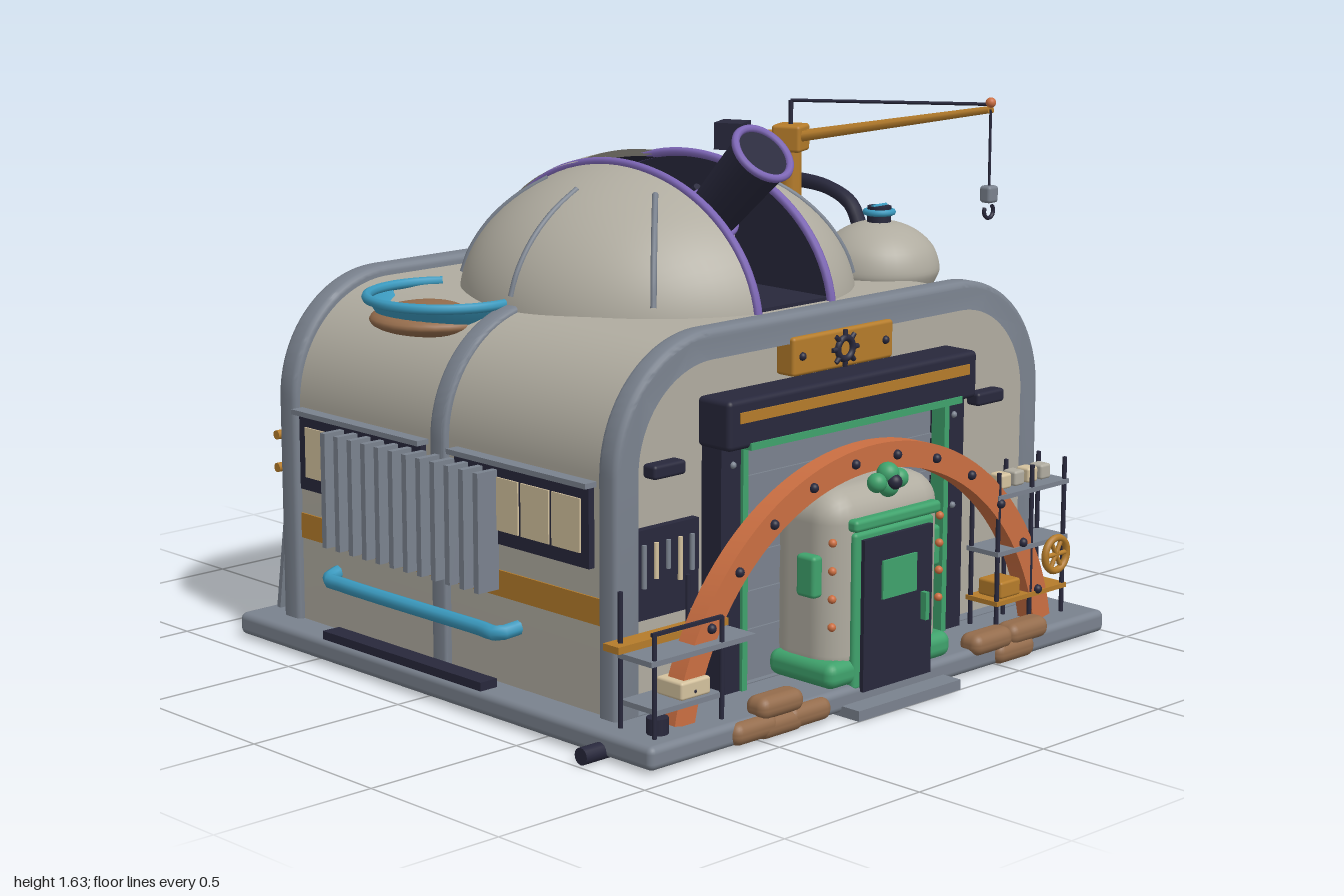
import * as THREE from 'three';
import { toCreasedNormals } from 'three/addons/utils/BufferGeometryUtils.js';
import { RoundedBoxGeometry } from 'three/addons/geometries/RoundedBoxGeometry.js';

const V = (x, y, z) => new THREE.Vector3(x, y, z);
const PI = Math.PI, CX = 0.035;

export function createModel() {
  const root = new THREE.Group();
  root.name = 'domedWorkshop';
  const M = {};
  const colours = { hull: 0xb0aca0, slate: 0x7a828e, dark: 0x28283c, terracotta: 0xcb6f42, ochre: 0xb57c2a,
    green: 0x3fa26c, blue: 0x3b9abf, purple: 0x7d66b6, earth: 0x946c4c, cream: 0xd4c29e };
  for (const [name, color] of Object.entries(colours)) {
    M[name] = new THREE.MeshStandardMaterial({ color });
    M[name].name = name;
  }
  for (const n of ['hull', 'dark', 'blue']) M[n].side = THREE.DoubleSide;

  // helpers
  const add = (name, geo, mat, x = 0, y = 0, z = 0) => {
    const m = new THREE.Mesh(geo, M[mat]);
    m.name = name;
    m.position.set(x, y, z);
    root.add(m);
    return m;
  };
  // box given by its limits
  const box = (name, mat, x0, x1, y0, y1, z0, z1) =>
    add(name, new THREE.BoxGeometry(x1 - x0, y1 - y0, z1 - z0), mat, (x0 + x1) / 2, (y0 + y1) / 2, (z0 + z1) / 2);
  const soft = (name, mat, x0, x1, y0, y1, z0, z1, r) =>
    add(name, new RoundedBoxGeometry(x1 - x0, y1 - y0, z1 - z0, 3, r), mat, (x0 + x1) / 2, (y0 + y1) / 2, (z0 + z1) / 2);
  const bar = (name, mat, a, b, r, r2 = r, seg = 16, open = false) => {
    const d = b.clone().sub(a), m = add(name, new THREE.CylinderGeometry(r2, r, d.length(), seg, 1, open), mat);
    m.position.copy(a).add(b).multiplyScalar(0.5);
    m.quaternion.setFromUnitVectors(V(0, 1, 0), d.normalize());
    return m;
  };
  const tube = (name, mat, pts, r, n = 32) =>
    add(name, new THREE.TubeGeometry(new THREE.CatmullRomCurve3(pts), n, r, 8), mat);
  const ball = (name, mat, x, y, z, rx, ry = rx, rz = rx) => {
    const m = add(name, new THREE.SphereGeometry(1, 28, 18), mat, x, y, z);
    m.scale.set(rx, ry, rz);
    return m;
  };
  const ring = (name, mat, x, y, z, r, t, arc = 2 * PI) => add(name, new THREE.TorusGeometry(r, t, 8, 40, arc), mat, x, y, z);

  // base slab with front step and side strips
  soft('base', 'slate', -0.915, 0.975, 0.008, 0.075, -0.85, 0.935, 0.02);
  box('frontStep', 'slate', -0.185, 0.24, 0, 0.03, 0.9, 1);
  box('sideStrip', 'dark', 0.96, 0.98, 0, 0.018, -0.67, 0.67);
  bar('drainPipe', 'dark', V(-0.985, 0.024, 0.74), V(-0.88, 0.024, 0.74), 0.024);

  // hull, end frames and middle rib share one round-shouldered outline
  const outline = (path, w, h, r) => {
    path.moveTo(-w, 0.06);
    path.lineTo(-w, h - r);
    path.absarc(-w + r, h - r, r, PI, PI / 2, true);
    path.lineTo(w - r, h);
    path.absarc(w - r, h - r, r, PI / 2, 0, true);
    path.lineTo(w, 0.06);
    path.closePath();
    return path;
  };
  const vault = (name, mat, w, h, r, z0, z1, inner = 0, bevel = 0) => {
    const s = outline(new THREE.Shape(), w, h, r);
    if (inner) s.holes.push(outline(new THREE.Path(), w - inner, h - inner, r - inner));
    const g = new THREE.ExtrudeGeometry(s, { depth: z1 - z0 - 2 * bevel, curveSegments: 20, bevelEnabled: bevel > 0,
      bevelSize: bevel, bevelThickness: bevel, bevelOffset: -bevel, bevelSegments: 3 });
    add(name, toCreasedNormals(g, 0.6), mat, CX, 0, z0 + bevel);
  };
  vault('hull', 'hull', 0.848, 1.07, 0.34, -0.7, 0.665);
  vault('frontFrame', 'slate', 0.868, 1.1, 0.36, 0.64, 0.715, 0.065, 0.018);
  vault('backFrame', 'slate', 0.868, 1.1, 0.36, -0.74, -0.66, 0.065, 0.018);
  vault('middleRib', 'slate', 0.868, 1.085, 0.36, -0.05, 0.015, 0.05, 0.012);

  // dome with an open slot, its pole lying along x
  const D = { x: 0.027, y: 1.02, z: -0.02, r: 0.585, h: 0.43 };
  const domePart = (name, mat, t0, t1, p0 = -PI / 2, p1 = PI / 2, k = 1) => {
    const g = new THREE.SphereGeometry(1, 40, 20, p0, p1 - p0, t0, t1 - t0).rotateZ(-PI / 2);
    add(name, g, mat, D.x, D.y, D.z).scale.set(D.r * k, D.h * k, D.r * k);
  };
  const ts = Math.acos(0.15 / D.r), tc = Math.acos(0.17 / D.r);
  domePart('domeLeft', 'hull', 0, ts);
  domePart('domeRight', 'hull', PI - ts, PI);
  domePart('domeBack', 'hull', ts, PI - ts, -PI / 2, -0.285);
  domePart('domeBackLining', 'dark', ts, PI - ts, -PI / 2, -0.285, 0.98);
  domePart('slotCover', 'hull', tc, PI - tc, -PI / 2, -0.29, 1.03);
  box('slotFloor', 'dark', D.x - 0.15, D.x + 0.15, 1.06, 1.08, -0.5, 0.53);
  const half = new THREE.Shape().absellipse(0, 0, 0.56, 0.41, 0, PI);
  const domePoint = (dx, dz, k = 1.005) =>
    V(D.x + dx, D.y + k * D.h * Math.sqrt(Math.max(0, 1 - (dx * dx + dz * dz) / D.r ** 2)), D.z + dz);
  for (const s of [-1, 1]) {
    add('slotWall', new THREE.ShapeGeometry(half, 24), 'dark', D.x + s * 0.153, D.y, D.z).rotation.y = PI / 2;
    const rail = [];
    for (let i = 0; i <= 20; i++) rail.push(domePoint(s * 0.15, 0.5654 * Math.sin(PI * (i / 20 - 0.5)), 1.01));
    tube('slotRail', 'purple', rail, 0.013, 48);
    bar('coverRib', 'slate', domePoint(s * 0.09, -0.42, 1.07), domePoint(s * 0.09, -0.53, 1.07), 0.008);
  }
  for (const a of [0, 45, 135, 180, 225, 315]) {
    const c = Math.cos(a * PI / 180), s = Math.sin(a * PI / 180);
    tube('domeRib', 'slate', [0.32, 0.41, 0.49, 0.55, 0.575].map(r => domePoint(r * c, r * s, 1.0)), 0.009, 16);
  }

  // telescope
  const tip = V(D.x, 1.495, 0.41), tail = V(D.x, 1.3, 0.21), axis = tip.clone().sub(tail).normalize();
  bar('telescopeBarrel', 'dark', tail, tip, 0.075, 0.09, 28);
  for (const [p, r] of [[tip, 0.09], [tail, 0.076]])
    ring('telescopeRing', 'purple', p.x, p.y, p.z, r, 0.012).quaternion.setFromUnitVectors(V(0, 0, 1), axis);
  bar('telescopeRear', 'hull', V(D.x, 1.2, 0.1), tail, 0.066);
  ball('telescopeEnd', 'hull', D.x, 1.2, 0.1, 0.066);
  soft('telescopeMount', 'hull', D.x - 0.07, D.x + 0.07, 1.08, 1.29, 0.03, 0.25, 0.03);
  bar('telescopeSlot', 'dark', V(D.x, 1.3, 0.07), V(D.x, 1.37, 0.15), 0.014);

  // crane on the dome
  const head = V(0.36, 1.49, 0.2), end = V(0.615, 1.6, 0.75), rear = V(0.275, 1.49, 0.04);
  bar('craneColumn', 'ochre', V(0.36, 1.27, 0.2), head, 0.034, 0.034, 12);
  soft('craneHead', 'ochre', 0.315, 0.405, 1.45, 1.53, 0.155, 0.245, 0.01).rotation.y = 0.4;
  for (const o of [-0.018, 0.018]) bar('craneBoom', 'ochre', head.clone().add(V(o, 0, -o / 2)), end.clone().add(V(o / 2, 0, 0)), 0.017, 0.011, 8);
  bar('craneTail', 'ochre', rear, head, 0.02);
  box('counterweight', 'dark', 0.23, 0.32, 1.45, 1.53, 0, 0.085).rotation.y = 0.45;
  bar('stayPost', 'dark', head, V(0.36, 1.6, 0.2), 0.007);
  bar('stayLine', 'dark', V(0.36, 1.6, 0.2), end.clone().add(V(0, 0.015, 0)), 0.005);
  ball('boomTip', 'terracotta', end.x, end.y + 0.02, end.z, 0.015);
  bar('hoistLine', 'dark', end, V(0.615, 1.36, 0.75), 0.004);
  soft('hoistBlock', 'slate', 0.593, 0.637, 1.33, 1.38, 0.73, 0.77, 0.01);
  ring('hoistHook', 'dark', 0.615, 1.305, 0.75, 0.02, 0.006, 4.5).rotation.z = 2.6;

  // roof tanks, hose and purple line
  const TX = 0.637;
  for (const z of [0.305, -0.405]) {
    const pts = [[0, 0.93], [0.09, 0.96], [0.14, 1.0], [0.175, 1.055], [0.183, 1.09], [0.165, 1.145], [0.12, 1.19], [0.06, 1.217], [0, 1.222]];
    const prof = new THREE.SplineCurve(pts.map(p => new THREE.Vector2(...p))).getPoints(32);
    prof.forEach(p => { p.x = Math.max(p.x, 0); });
    add('roofTank', new THREE.LatheGeometry(prof, 36), 'hull', TX, 0, z);
    bar('tankNeck', 'dark', V(TX, 1.2, z), V(TX, 1.268, z), 0.036);
    ring('tankCapRing', 'blue', TX, 1.25, z, 0.04, 0.01).rotation.x = PI / 2;
    const arc = ring('tankArc', 'blue', TX, 0.965, z, 0.19, 0.014, 2.6);
    arc.rotation.set(PI / 2, 0, -1.3);
    bar('tankCapPin', 'blue', V(TX - 0.03, 1.268, z), V(TX + 0.03, 1.268, z), 0.006);
  }
  tube('tankHose', 'dark', [V(TX, 1.19, 0.23), V(TX, 1.26, 0.19), V(TX, 1.3, 0.1), V(TX, 1.312, -0.05), V(TX, 1.3, -0.2), V(TX, 1.26, -0.29), V(TX, 1.19, -0.33)], 0.023);
  tube('purpleLine', 'purple', [V(0.76, 1.01, 0.22), V(0.8, 1.01, 0.08), V(0.81, 1.01, -0.05), V(0.8, 1.01, -0.18), V(0.76, 1.01, -0.32)], 0.009);
  for (const z of [0.1, -0.1, -0.2]) bar('lineSupport', 'dark', V(0.8, 1.01, z), V(0.84, 0.93, z), 0.007);
  bar('tap', 'blue', V(0.86, 0.9, -0.4), V(0.93, 0.87, -0.4), 0.018);
  bar('tapSpout', 'blue', V(0.92, 0.88, -0.4), V(0.92, 0.83, -0.4), 0.014);

  // roof dish
  const dish = [[0.16, 0.99], [0.2, 1.03], [0.228, 1.075]].map(p => new THREE.Vector2(...p));
  add('roofDish', new THREE.LatheGeometry(dish, 36, PI * 1.02, PI * 1.15), 'blue', -0.58, 0, -0.27);
  ring('dishRim', 'blue', -0.58, 1.075, -0.27, 0.226, 0.015, 4.1).rotation.set(PI / 2, 0, 1.28);
  ball('dishSoil', 'earth', -0.625, 1.015, -0.27, 0.185, 0.045, 0.185);

  // side windows, stripes and ledges on both long sides
  for (const s of [-1, 1]) {
    const X = d => CX + s * d;
    const plate = (name, mat, d0, d1, y0, y1, z0, z1) => box(name, mat, Math.min(X(d0), X(d1)), Math.max(X(d0), X(d1)), y0, y1, z0, z1);
    plate('sideStripe', 'ochre', 0.84, 0.853, 0.325, 0.4, -0.66, 0.64);
    for (const [z0, z1] of [[0.06, 0.61], [-0.64, -0.085]]) {
      plate('windowFrame', 'dark', 0.83, 0.868, 0.48, 0.705, z0, z1);
      plate('windowLedge', 'slate', 0.83, 0.89, 0.705, 0.72, z0 - 0.01, z1 + 0.01);
      const w = (z1 - z0 - 0.05) / 4;
      for (let i = 0; i < 4; i++) plate('windowPane', 'cream', 0.866, 0.873, 0.52, 0.67, z0 + 0.031 + i * w, z0 + 0.019 + (i + 1) * w);
    }
  }
  // radiator and blue pipe on the right side
  for (let i = 0; i < 12; i++) box('radiatorFin', 'slate', -0.905, -0.83, 0.35, 0.69, -0.45 + i * 0.061, -0.43 + i * 0.061);
  box('radiatorBack', 'dark', -0.85, -0.82, 0.37, 0.67, -0.44, 0.23);
  tube('bluePipe', 'blue', [V(-0.8, 0.25, -0.5), V(-0.86, 0.24, -0.48), V(-0.87, 0.24, -0.4), V(-0.87, 0.24, 0.2), V(-0.87, 0.24, 0.28), V(-0.8, 0.25, 0.3)], 0.022);
  box('pipeTray', 'dark', -0.91, -0.85, 0.075, 0.1, -0.45, 0.25);

  // left side fittings: hatch, levers, bollards
  ball('sideMound', 'hull', 0.88, 0.165, -0.015, 0.07, 0.03, 0.17);
  box('greenSill', 'green', 0.87, 0.945, 0.125, 0.142, -0.34, 0.2);
  bar('lever', 'slate', V(0.905, 0.16, 0.55), V(0.905, 0.32, 0.24), 0.012);
  bar('lever', 'slate', V(0.905, 0.25, -0.27), V(0.905, 0.43, -0.59), 0.012);
  box('leverBox', 'dark', 0.88, 0.92, 0.25, 0.29, 0.27, 0.32);
  for (const z of [-0.25, -0.36]) {
    bar('bollard', 'ochre', V(0.935, 0.075, z), V(0.935, 0.36, z), 0.03, 0.022);
    bar('bollardBase', 'ochre', V(0.935, 0.075, z), V(0.935, 0.11, z), 0.038);
    bar('bollardCap', 'ochre', V(0.935, 0.33, z), V(0.935, 0.37, z), 0.034);
    bar('bollardTop', 'dark', V(0.935, 0.37, z), V(0.935, 0.4, z), 0.016);
    bar('bollardValve', 'dark', V(0.935, 0.305, z - 0.06), V(0.935, 0.305, z + 0.06), 0.008);
  }

  // garage front: header, posts, shutter, sign
  soft('doorHeader', 'dark', -0.48, 0.54, 0.77, 0.91, 0.66, 0.785, 0.015);
  box('headerStripe', 'ochre', -0.44, 0.5, 0.845, 0.875, 0.78, 0.79);
  box('shutter', 'slate', -0.38, 0.45, 0.075, 0.77, 0.66, 0.69);
  for (let i = 1; i < 6; i++) box('shutterGroove', 'slate', -0.38, 0.45, 0.1 + i * 0.11, 0.115 + i * 0.11, 0.69, 0.697);
  box('greenLintel', 'green', -0.4, 0.47, 0.765, 0.785, 0.7, 0.79);
  for (const s of [-1, 1]) {
    const x = CX + s * 0.455;
    box('doorPost', 'dark', x - 0.045, x + 0.045, 0.075, 0.8, 0.66, 0.74);
    box('greenPostTrim', 'green', CX + s * 0.415 - 0.01, CX + s * 0.415 + 0.01, 0.075, 0.77, 0.7, 0.75);
    for (const y of [0.45, 0.72]) ball('postBolt', 'slate', x, y, 0.74, 0.01);
    soft('wallVent', 'dark', CX + s * 0.66 - 0.06, CX + s * 0.66 + 0.06, 0.715, 0.755, 0.66, 0.71, 0.01);
  }
  soft('sign', 'ochre', -0.175, 0.235, 0.925, 1.035, 0.66, 0.73, 0.01);
  ring('signGear', 'dark', 0.03, 0.98, 0.733, 0.03, 0.01);
  for (let i = 0; i < 8; i++) {
    const a = i * PI / 4;
    bar('gearTooth', 'dark', V(0.03 + 0.03 * Math.cos(a), 0.98 + 0.03 * Math.sin(a), 0.733), V(0.03 + 0.053 * Math.cos(a), 0.98 + 0.053 * Math.sin(a), 0.733), 0.009, 0.007, 8);
  }
  for (const x of [-0.14, 0.2]) ball('signBolt', 'dark', x, 0.98, 0.73, 0.012);

  // terracotta arch with bolts
  const arch = new THREE.Shape(), R = 0.795, AY = -0.07, A0 = 0.19;
  arch.absarc(0, 0, R, A0, PI - A0, false);
  arch.absarc(0, 0, R - 0.075, PI - A0, A0, true);
  add('archBeam', toCreasedNormals(new THREE.ExtrudeGeometry(arch, { depth: 0.06, curveSegments: 48, bevelEnabled: false }), 0.5), 'terracotta', 0.03, AY, 0.795);
  for (let i = 0; i < 12; i++) {
    const a = 0.32 + i * (PI - 0.64) / 11;
    ball('archBolt', 'dark', 0.03 + 0.757 * Math.cos(a), AY + 0.757 * Math.sin(a), 0.857, 0.014);
  }

  // entrance pod
  soft('pod', 'hull', -0.205, 0.265, 0.07, 0.625, 0.66, 0.92, 0.09);
  soft('podSkirt', 'green', -0.225, 0.285, 0.075, 0.15, 0.68, 0.93, 0.03);
  soft('podDoorFrame', 'green', -0.135, 0.195, 0.06, 0.51, 0.89, 0.932, 0.012);
  box('podDoor', 'dark', -0.11, 0.172, 0.055, 0.49, 0.9, 0.945);
  box('podWindow', 'green', -0.04, 0.1, 0.31, 0.42, 0.94, 0.952);
  box('doorHandle', 'green', 0.125, 0.14, 0.22, 0.3, 0.94, 0.965);
  soft('podLintel', 'green', -0.145, 0.21, 0.515, 0.55, 0.87, 0.945, 0.012);
  for (const [x, y, r] of [[-0.015, 0.63, 0.028], [0.075, 0.63, 0.028], [0.03, 0.65, 0.032], [0.03, 0.615, 0.032]]) ball('podLamp', 'green', x, y, 0.9, r);
  ball('lampLens', 'dark', 0.03, 0.63, 0.925, 0.022);
  for (const s of [-1, 1]) {
    soft('podGrip', 'green', 0.03 + s * 0.245 - 0.02, 0.03 + s * 0.245 + 0.02, 0.33, 0.45, 0.8, 0.87, 0.012);
    for (const y of [0.25, 0.33, 0.41, 0.49]) ball('podRivet', 'terracotta', 0.03 + s * 0.222, y, 0.9, 0.012);
  }

  // tool board and work bench
  box('toolBoard', 'dark', -0.755, -0.5, 0.33, 0.58, 0.66, 0.69);
  for (let i = 0; i < 5; i++) bar('tool', i % 2 ? 'cream' : 'slate', V(-0.71 + i * 0.045, 0.42 + (i % 3) * 0.02, 0.695), V(-0.71 + i * 0.045, 0.54, 0.695), 0.007);
  box('benchTop', 'ochre', -0.885, -0.475, 0.29, 0.31, 0.72, 0.78);
  box('benchShelf', 'slate', -0.87, -0.48, 0.275, 0.29, 0.76, 0.89);
  box('lowShelf', 'slate', -0.84, -0.6, 0.135, 0.15, 0.74, 0.88);
  for (const x of [-0.85, -0.6]) for (const z of [0.75, 0.88]) bar('benchLeg', 'dark', V(x, 0.075, z), V(x, z > 0.8 ? 0.36 : 0.45, z), 0.007);
  box('benchRail', 'dark', -0.86, -0.6, 0.355, 0.365, 0.875, 0.885);
  soft('crate', 'cream', -0.74, -0.63, 0.15, 0.2, 0.77, 0.87, 0.008);
  bar('canister', 'dark', V(-0.81, 0.075, 0.85), V(-0.81, 0.12, 0.85), 0.03);

  // rack with wheel at the other corner
  for (const x of [0.57, 0.72, 0.87]) for (const z of [0.75, 0.85]) bar('rackPost', 'dark', V(x, 0.075, z), V(x, 0.55, z), 0.007);
  for (const [y, m] of [[0.15, 'ochre'], [0.3, 'slate'], [0.47, 'slate']]) box('rackShelf', m, 0.56, 0.88, y, y + 0.014, 0.74, 0.86);
  for (let i = 0; i < 4; i++) soft('rackTin', i % 2 ? 'hull' : 'cream', 0.62 + i * 0.06, 0.665 + i * 0.06, 0.485, 0.53, 0.77, 0.82, 0.008);
  soft('rackBox', 'ochre', 0.59, 0.68, 0.164, 0.215, 0.76, 0.85, 0.008);
  ring('handWheel', 'ochre', 0.815, 0.265, 0.87, 0.05, 0.011);
  for (let i = 0; i < 3; i++) bar('wheelSpoke', 'ochre', V(0.815 - 0.05 * Math.cos(i * PI / 3), 0.265 - 0.05 * Math.sin(i * PI / 3), 0.87), V(0.815 + 0.05 * Math.cos(i * PI / 3), 0.265 + 0.05 * Math.sin(i * PI / 3), 0.87), 0.007);

  // stones around the base
  const stone = (x, y, z, a, b, c) => soft('stone', 'earth', x - a, x + a, y - b, y + b, z - c, z + c, b * 0.9);
  for (const [x, y] of [[-0.53, 0.04], [-0.43, 0.035], [-0.32, 0.04], [-0.43, 0.09], [0.45, 0.085], [0.55, 0.04], [0.61, 0.085]]) stone(x, y, 0.915, 0.085, 0.032, 0.04);
  for (let i = 0; i < 11; i++) stone(0.925, 0.095, 0.58 - i * 0.112, 0.034, 0.024 + 0.004 * (i % 3), 0.054);
  for (const x of [-0.44, 0.49]) stone(x, 0.07, -0.89, 0.085, 0.04, 0.05);

  // earth mound against the back wall
  const g = new THREE.SphereGeometry(1, 30, 16, 0, 2 * PI, 0, PI / 2), p = g.attributes.position;
  for (let i = 0; i < p.count; i++) {
    const x = p.getX(i), y = p.getY(i), z = p.getZ(i);
    const k = 0.96 + 0.04 * Math.sin(7 * x + 3 * y) * Math.cos(6 * z + 4 * y) + 0.03 * Math.sin(11 * x - 5 * y);
    p.setXYZ(i, x * k * (1.06 - 0.25 * y), y * k, z * k);
  }
  g.computeVertexNormals();
  add('earthMound', g, 'earth', -0.05, 0, -0.7).scale.set(0.5, 0.63, 0.295);
  for (const [x, y, z, r] of [[0.07, 0.6, -0.79, 0.04], [-0.06, 0.6, -0.8, 0.03], [0.2, 0.5, -0.82, 0.035]]) add('moundRock', new THREE.DodecahedronGeometry(r), 'earth', x, y, z);

  // pipe rack, leaning sheets, tank and fan on the back wall
  box('backStripe', 'ochre', CX - 0.8, CX + 0.8, 0.325, 0.4, -0.709, -0.69);
  for (const [y, z] of [[0.6, -0.775], [0.6, -0.83], [0.5, -0.775], [0.5, -0.83]]) bar('rackPipe', z < -0.8 ? 'ochre' : 'slate', V(-0.775, y, z), V(-0.085, y, z), 0.014);
  for (const x of [-0.69, -0.43, -0.17]) {
    for (const y of [0.48, 0.58]) box('rackBracket', 'dark', x - 0.01, x + 0.01, y - 0.008, y + 0.008, -0.85, -0.7);
    box('rackUpright', 'dark', x - 0.012, x + 0.012, 0.46, 0.625, -0.76, -0.7);
  }
  box('ochreSheet', 'ochre', -0.61, -0.4, 0.075, 0.38, -0.79, -0.775).rotation.x = 0.15;
  box('slateSheet', 'slate', -0.8, -0.63, 0.075, 0.38, -0.79, -0.775).rotation.x = 0.15;
  add('backTank', new THREE.CapsuleGeometry(0.08, 0.12, 8, 24), 'hull', 0.71, 0.215, -0.775);
  for (const y of [0.13, 0.28]) ring('backTankBand', 'green', 0.71, y, -0.775, 0.081, 0.012).rotation.x = PI / 2;
  bar('fanHousing', 'dark', V(0.5, 0.24, -0.7), V(0.5, 0.24, -0.82), 0.1, 0.1, 24);
  for (let i = 0; i < 3; i++) box('fanBlade', 'slate', 0.42, 0.58, 0.23, 0.25, -0.827, -0.82).rotation.z = i * PI / 3;
  return root;
}
